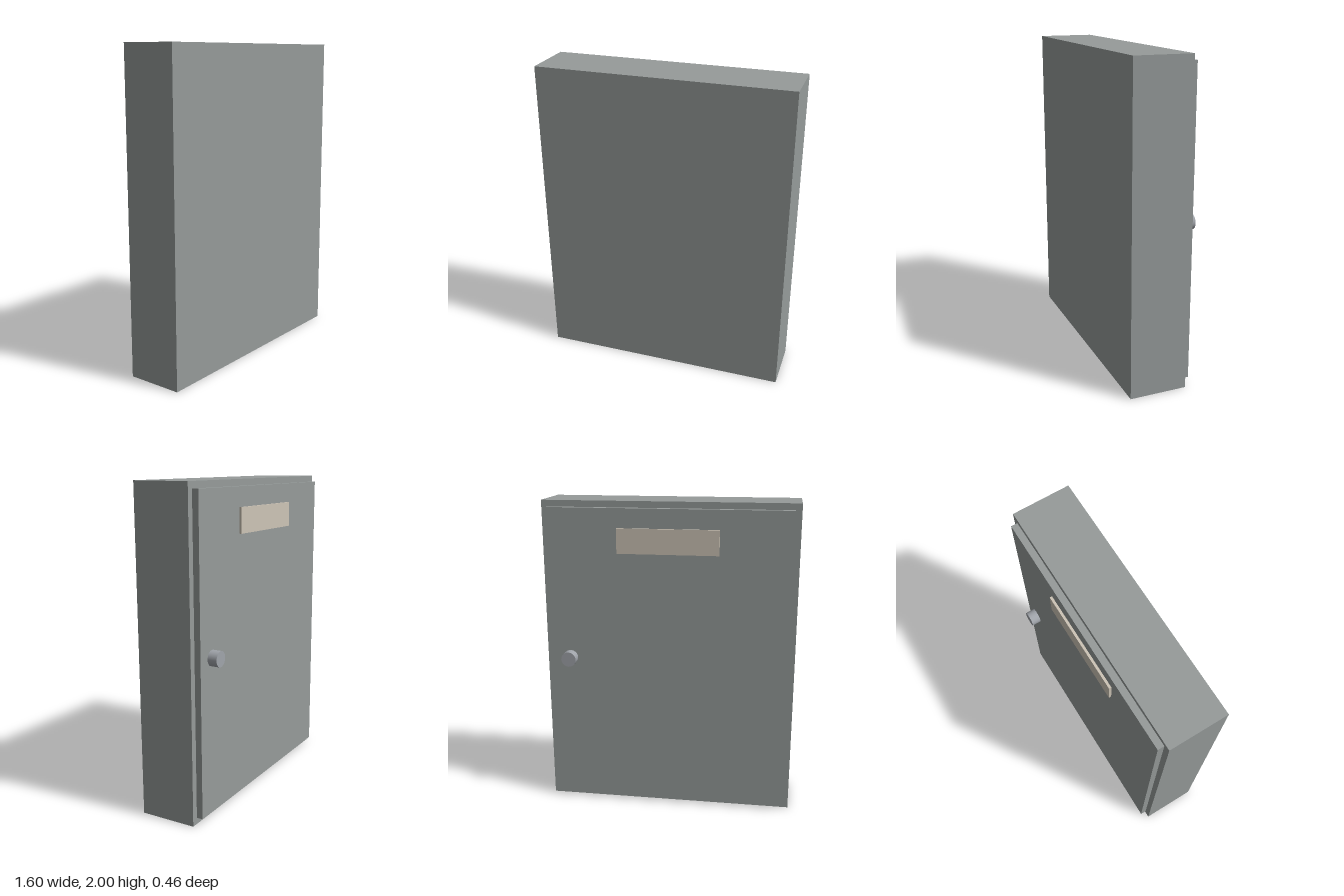
import * as THREE from 'three';

const paint = (color) => new THREE.MeshStandardMaterial({ color });

export function createModel() {
  const group = new THREE.Group();
  group.name = 'wallCabinet';
  const steel = paint(0x969b9a);

  const add = (name, geometry, material, x, y, z) => {
    const mesh = new THREE.Mesh(geometry, material);
    mesh.name = name;
    mesh.position.set(x, y, z);
    group.add(mesh);
    return mesh;
  };
  // Box given by its width, height and z range
  const panel = (name, w, h, y, zBack, zFront, material) =>
    add(name, new THREE.BoxGeometry(w, h, zFront - zBack), material, 0, y, (zBack + zFront) / 2);

  // Cabinet body with its door, raised label plate and knob on the -z side
  panel('cabinetBody', 1.6, 2, 1, -0.13, 0.23, steel);
  panel('door', 1.52, 1.92, 1, -0.17, -0.13, steel);
  panel('labelPlate', 0.635, 0.155, 1.762, -0.185, -0.17, paint(0xcdc4b6));

  const knob = add('doorKnob', new THREE.CylinderGeometry(0.048, 0.048, 0.06, 24), paint(0xa0a4aa), 0.638, 1, -0.2);
  knob.rotation.x = Math.PI / 2;

  return group;
}
